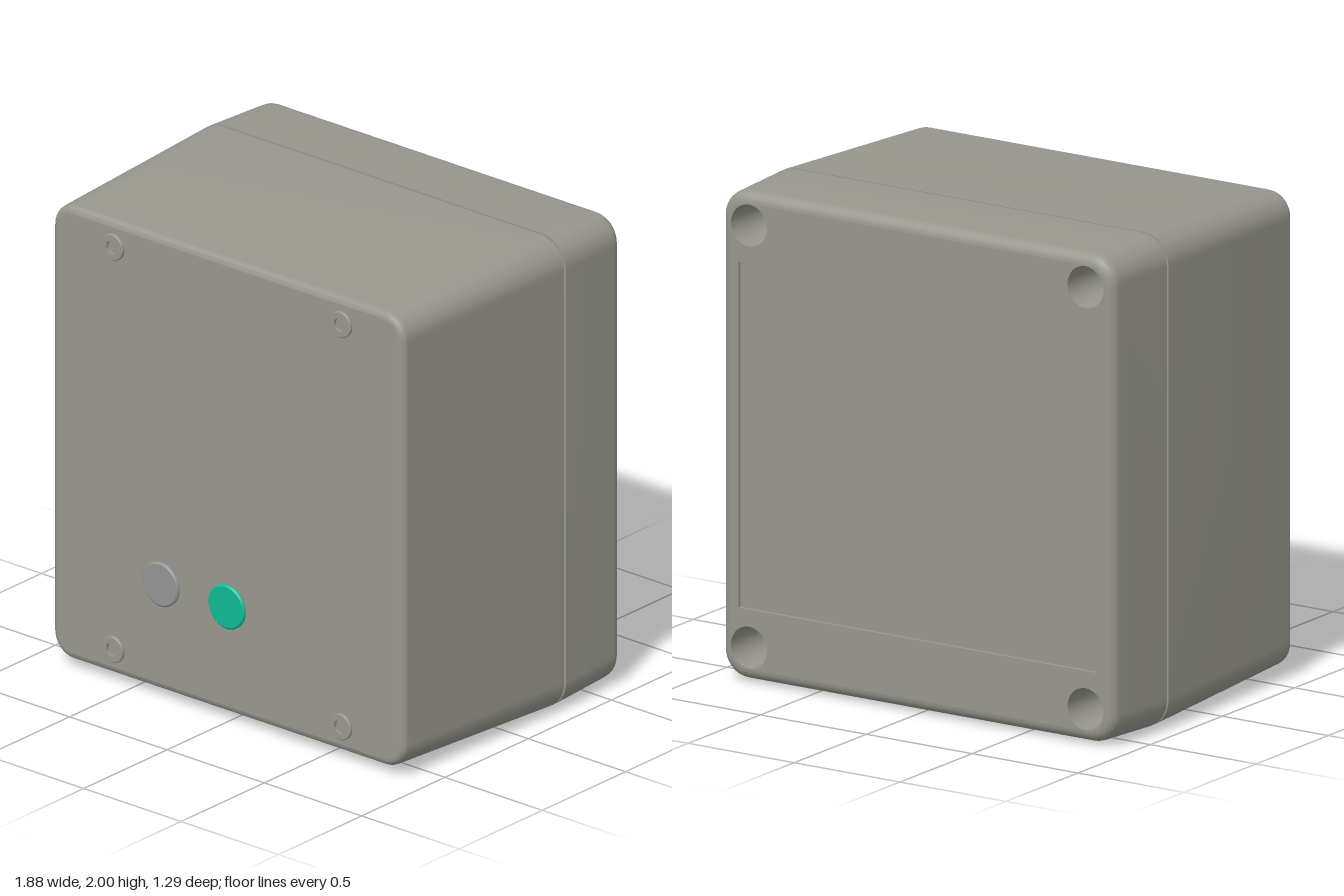
import * as THREE from 'three';
import { toCreasedNormals } from 'three/addons/utils/BufferGeometryUtils.js';

const FRONT = 0.635, BACK = -0.647, TIP = 0.647, MID = 1;
const CORNERS = [[-1, -1], [1, -1], [1, 1], [-1, 1]];
const mat = (color) => new THREE.MeshStandardMaterial({ color, side: THREE.DoubleSide });

// Rounded rectangle outline, counter-clockwise, with support points beside each arc
function outline(hw, hh, r, n = 8) {
  const pts = [];
  [[1, 1], [-1, 1], [-1, -1], [1, -1]].forEach(([sx, sy], q) => {
    const cx = sx * (hw - r), cy = sy * (hh - r);
    const at = (a, slide) => new THREE.Vector2(
      cx + r * Math.cos(a) + slide * Math.sin(a), cy + r * Math.sin(a) - slide * Math.cos(a));
    const a0 = q * Math.PI / 2;
    pts.push(at(a0, 0.01));
    for (let i = 0; i <= n; i++) pts.push(at(a0 + (i / n) * Math.PI / 2, 0));
    pts.push(at(a0 + Math.PI / 2, -0.01));
  });
  return pts;
}

// Skin through outlines [halfWidth, halfHeight, radius, z], ordered front to back
function loft(rings) {
  const pos = [], idx = [];
  let n = 0;
  rings.forEach(([hw, hh, r, z]) => {
    const pts = outline(hw, hh, r);
    n = pts.length;
    pts.forEach((p) => pos.push(p.x, p.y + MID, z));
  });
  for (let k = 0; k < rings.length - 1; k++) {
    for (let i = 0; i < n; i++) {
      const a = k * n + i, b = k * n + (i + 1) % n;
      idx.push(a, a + n, b, b, a + n, b + n);
    }
  }
  const g = new THREE.BufferGeometry();
  g.setAttribute('position', new THREE.Float32BufferAttribute(pos, 3));
  g.setIndex(idx);
  return toCreasedNormals(g, 0.6);
}

// Rounded edge: rings from the flat end face (dir = +1 front, -1 back) to the wall
function fillet(hw, hh, r, z, f, dir) {
  const rings = [];
  for (let i = 0; i <= 6; i++) {
    const a = (i / 6) * Math.PI / 2, inset = f * (1 - Math.sin(a));
    rings.push([hw - inset, hh - inset, r - inset, z - dir * f * (1 - Math.cos(a))]);
  }
  rings.push([hw + 0.0006, hh + 0.0006, r, z - dir * (f + 0.01)]);
  return rings;
}

// End plate with holes
function plate(hw, hh, r, depth, holes) {
  const shape = new THREE.Shape(outline(hw, hh, r));
  shape.holes.push(...holes);
  return new THREE.ExtrudeGeometry(shape, { depth, bevelEnabled: false, curveSegments: 16 });
}

function circle(x, y, r) {
  const p = new THREE.Path();
  p.absarc(x, y, r, 0, Math.PI * 2, true);
  return p;
}

// Turned part around the z axis from [radius, z] points
function turned(profile, segments = 32) {
  const g = new THREE.LatheGeometry(profile.map((p) => new THREE.Vector2(...p)), segments);
  return toCreasedNormals(g.rotateX(Math.PI / 2), 0.5);
}

export function createModel() {
  const root = new THREE.Group();
  root.name = 'enclosure';
  const body = mat(0x98978e), grey = mat(0x949494), dark = mat(0x4c4c4c), teal = mat(0x10bd94);
  const add = (name, geometry, material, x = 0, y = 0, z = 0) => {
    const m = new THREE.Mesh(geometry, material);
    m.name = name;
    m.position.set(x, y, z);
    root.add(m);
    return m;
  };
  const screwHoles = CORNERS.map(([sx, sy]) => [sx * 0.795, sy * 0.855]);
  const bores = () => screwHoles.map(([x, y]) => circle(x, y, 0.085));

  // Front housing, tapering out towards the seam
  const f = 0.03;
  add('frontHousing', loft([
    ...fillet(0.902, 0.963, 0.1, FRONT, f, 1),
    [0.94, 1, 0.12, -0.275], [0.94, 1, 0.12, -0.285], [0.9, 0.96, 0.08, -0.285],
  ]), body);
  const sensor = [0.333, -0.515];
  add('frontFace', plate(0.902 - f, 0.963 - f, 0.1 - f, 0.07,
    [...bores(), circle(...sensor, 0.058)]), body, 0, MID, FRONT - 0.07);

  // Rear cover with a shallow rectangular recess
  const b = 0.045;
  add('rearCover', loft([
    [0.9, 0.96, 0.08, -0.296], [0.94, 1, 0.12, -0.296], [0.94, 1, 0.12, -0.306],
    ...fillet(0.926, 0.988, 0.11, BACK, b, -1).reverse(),
  ]), body);
  const recess = new THREE.Path(CORNERS.map(([sx, sy]) => new THREE.Vector2(sx * 0.845, sy * 0.7)));
  add('rearFace', plate(0.926 - b, 0.988 - b, 0.11 - b, 0.015, [...bores(), recess]),
    body, 0, MID, BACK);
  add('rearPanel', new THREE.BoxGeometry(1.69, 1.4, 0.01), body, 0, MID, BACK + 0.02);

  // Gasket in the seam
  add('seamGasket', loft([[0.93, 0.99, 0.11, -0.284], [0.93, 0.99, 0.11, -0.297]]), body);

  // Stepped through-bores in the corners
  const bore = turned([[0.085, FRONT], [0.062, -0.2], [0.035, -0.2],
    [0.035, -0.36], [0.07, -0.36], [0.085, BACK]]);
  screwHoles.forEach(([x, y]) => add('cornerBore', bore, body, x, MID + y));

  // Small ring bosses beside the bores
  const boss = turned([[0.055, FRONT - 0.01], [0.055, TIP - 0.003], [0.052, TIP],
    [0.028, TIP], [0.028, FRONT - 0.01], [0, FRONT + 0.001]]);
  CORNERS.forEach(([sx, sy]) => add('ringBoss', boss, body, sx * 0.585, MID + sy * 0.855));

  // Push buttons with softened rims
  const button = turned([[0.093, FRONT - 0.01], [0.093, TIP - 0.006], [0.086, TIP], [0, TIP]], 48);
  add('greyButton', button, grey, -0.34, 0.49);
  add('greenButton', button, teal, 0, 0.49);

  // Dark floor of the round opening
  add('openingFloor', new THREE.CircleGeometry(0.065, 32), dark,
    sensor[0], MID + sensor[1], FRONT - 0.069);
  return root;
}
